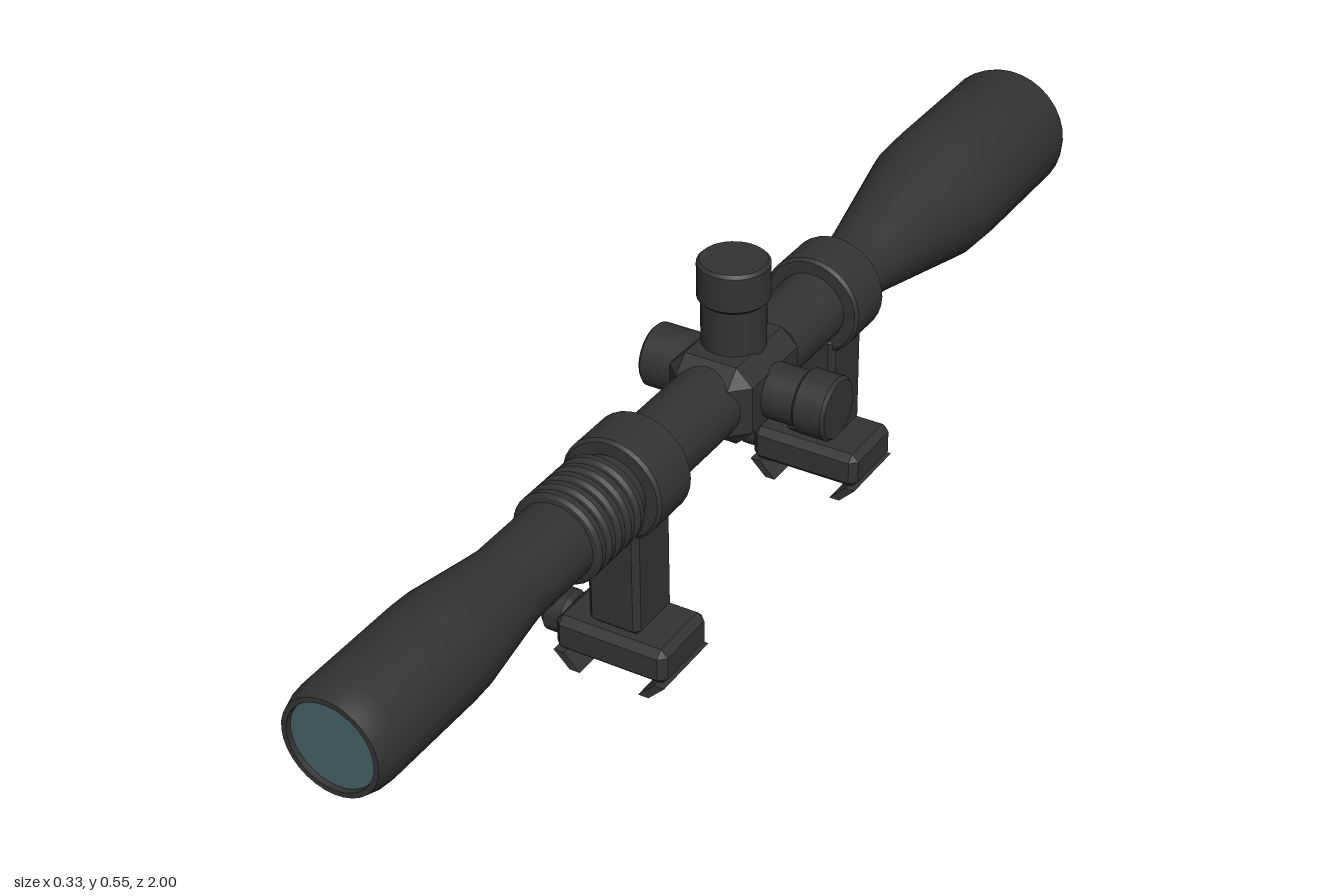
import * as THREE from 'three';
import { toCreasedNormals } from 'three/addons/utils/BufferGeometryUtils.js';
import { ConvexGeometry } from 'three/addons/geometries/ConvexGeometry.js';

const AX = -0.02, AY = 0.341; // optical axis
const TURRET_Z = -0.026;

const dark = new THREE.MeshStandardMaterial({ color: 0x333335 });
const glass = new THREE.MeshStandardMaterial({ color: 0x446066 });

function add(parent, name, geometry, x = 0, y = 0, z = 0, material = dark) {
  const mesh = new THREE.Mesh(geometry, material);
  mesh.name = name;
  mesh.position.set(x, y, z);
  parent.add(mesh);
  return mesh;
}

// Turned part along +y from [radius, height] pairs
function turned(profile, sides = 32) {
  const points = profile.map(([r, h]) => new THREE.Vector2(r, h));
  return toCreasedNormals(new THREE.LatheGeometry(points, sides), 0.5);
}

// Solid knob from h0 to h1 with bevelled rims
function knob(r, h0, h1, b = 0.005) {
  return turned([[0, h0], [r - b, h0], [r, h0 + b], [r, h1 - b], [r - b, h1], [0, h1]]);
}

// Box with every edge chamfered by c
function chamferBox(w, h, d, c) {
  const pts = [];
  for (const sx of [-1, 1]) for (const sy of [-1, 1]) for (const sz of [-1, 1]) {
    const x = w / 2, y = h / 2, z = d / 2;
    pts.push(
      new THREE.Vector3(sx * x, sy * (y - c), sz * (z - c)),
      new THREE.Vector3(sx * (x - c), sy * y, sz * (z - c)),
      new THREE.Vector3(sx * (x - c), sy * (y - c), sz * z));
  }
  return new ConvexGeometry(pts);
}

function buildMount(z) {
  const mount = new THREE.Group();
  mount.name = 'mount';
  mount.position.z = z;

  // Ring around the tube
  const ring = turned([[0.058, -0.045], [0.08, -0.045], [0.085, -0.04],
    [0.085, 0.04], [0.08, 0.045], [0.058, 0.045]]).rotateX(Math.PI / 2);
  add(mount, 'ring', ring, AX, AY);

  add(mount, 'post', chamferBox(0.09, 0.2, 0.1, 0.009), AX, 0.192);
  add(mount, 'base', chamferBox(0.196, 0.063, 0.13, 0.012), AX, 0.0585);

  // Slanted rail jaws under the base
  for (const side of [-1, 1]) {
    const corners = [[0.098, 0.028], [0.07, 0], [0.052, 0], [0.08, 0.028]];
    const shape = new THREE.Shape(corners.map(([x, y]) => new THREE.Vector2(side * x, y)));
    const jaw = new THREE.ExtrudeGeometry(shape, { depth: 0.13, bevelEnabled: false });
    add(mount, 'jaw', jaw.translate(0, 0, -0.065), AX);
  }

  // Clamp screw on the right side
  add(mount, 'clampKnob', knob(0.037, 0, 0.046, 0.008).rotateZ(Math.PI / 2), -0.117, 0.053);
  add(mount, 'clampScrew', new THREE.CylinderGeometry(0.02, 0.02, 0.03, 20).rotateZ(Math.PI / 2), -0.115, 0.053);
  return mount;
}

export function createModel() {
  const model = new THREE.Group();
  model.name = 'scope';

  // Main body: objective bell, tube, eyepiece
  const body = turned([
    [0.106, -0.99], [0.106, -1], [0.109, -1], [0.114, -0.985], [0.114, -0.75], [0.111, -0.68],
    [0.064, -0.45], [0.06, -0.42], [0.06, 0.36], [0.063, 0.4], [0.063, 0.6],
    [0.067, 0.63], [0.083, 0.74], [0.085, 0.78], [0.085, 0.96], [0.083, 0.98],
    [0.077, 1], [0.069, 1], [0.068, 0.99],
  ]).rotateX(Math.PI / 2);
  add(model, 'body', body, AX, AY);

  // Lenses
  add(model, 'eyepieceLens', new THREE.CircleGeometry(0.069, 32), AX, AY, 0.992, glass);
  add(model, 'objectiveLens', new THREE.CircleGeometry(0.107, 32).rotateY(Math.PI), AX, AY, -0.996, glass);

  // Zoom ring ribs
  for (let i = 0; i < 5; i++) {
    const rib = turned([[0.06, -0.012], [0.07, -0.01], [0.075, -0.005],
      [0.075, 0.005], [0.07, 0.01], [0.06, 0.012]]).rotateX(Math.PI / 2);
    add(model, 'zoomRib', rib, AX, AY, 0.362 + i * 0.0255);
  }

  // Turret housing with its three knobs
  add(model, 'turretHousing', chamferBox(0.146, 0.136, 0.195, 0.028), AX, AY, TURRET_Z);

  const top = new THREE.Group();
  top.name = 'topTurret';
  top.position.set(AX, 0, TURRET_Z);
  add(top, 'turretStem', new THREE.CylinderGeometry(0.051, 0.051, 0.12, 32), 0, 0.43);
  add(top, 'turretCap', knob(0.057, 0.484, 0.551));
  model.add(top);

  const left = new THREE.Group();
  left.name = 'leftTurret';
  left.position.set(0, AY, TURRET_Z);
  add(left, 'turretStem', new THREE.CylinderGeometry(0.045, 0.045, 0.09, 32).rotateZ(Math.PI / 2), 0.07);
  add(left, 'turretCap', knob(0.052, 0.107, 0.163).rotateZ(-Math.PI / 2));
  model.add(left);

  add(model, 'rightTurret', knob(0.052, 0.07, 0.163).rotateZ(Math.PI / 2), 0, AY, TURRET_Z);

  for (const z of [0.285, -0.316]) model.add(buildMount(z));
  return model;
}
